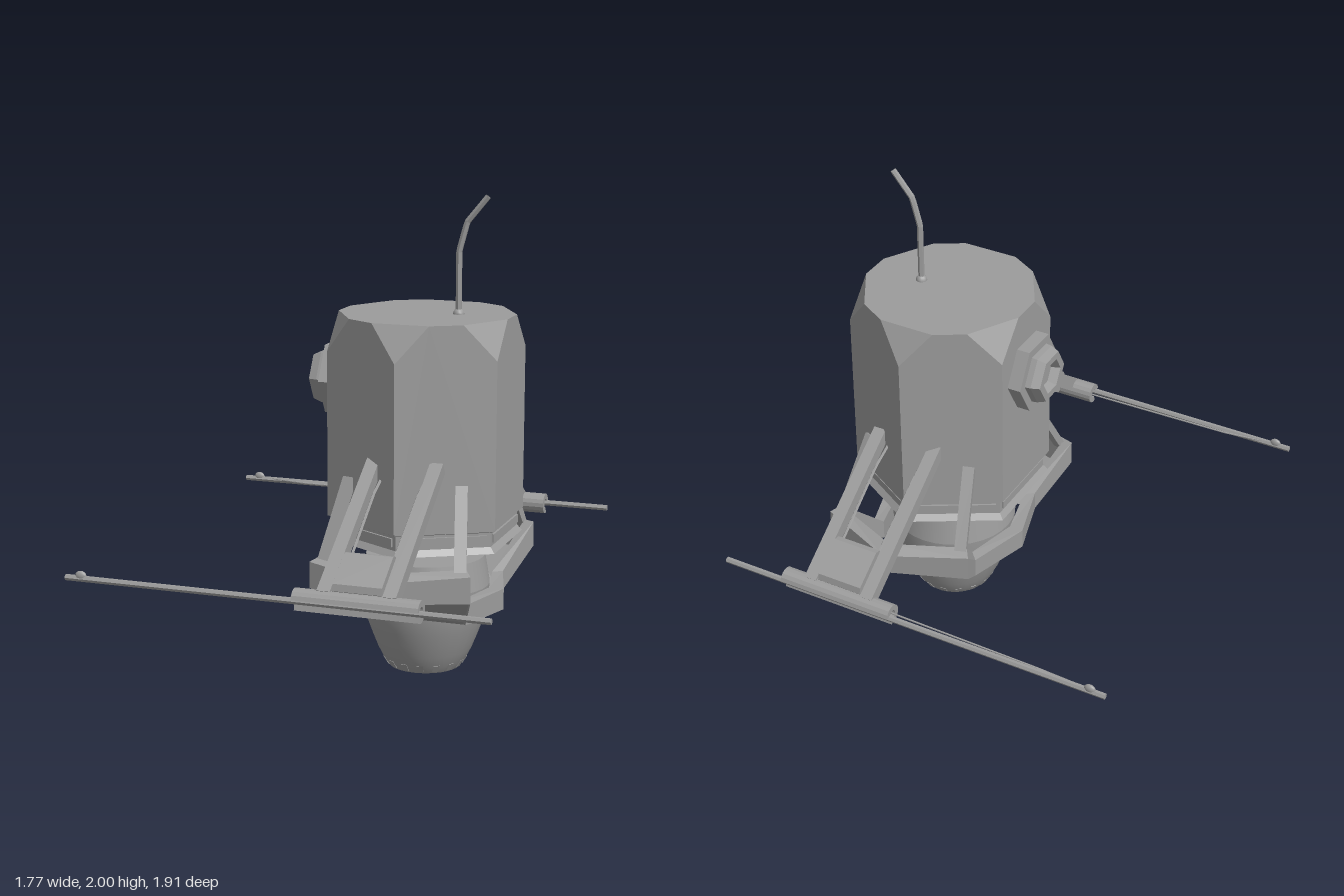
import * as THREE from 'three';
import { ConvexGeometry } from 'three/addons/geometries/ConvexGeometry.js';

const flat = new THREE.MeshStandardMaterial({ color: 0x9c9c9c, flatShading: true, side: THREE.DoubleSide });
const smooth = new THREE.MeshStandardMaterial({ color: 0x9c9c9c, side: THREE.DoubleSide });
const V = (x, y, z) => new THREE.Vector3(x, y, z);

export function createModel() {
  const model = new THREE.Group();
  model.name = 'droidPod';
  model.position.x = 0.325; // parts are laid out around the body axis
  const root = new THREE.Group();
  root.add(model);

  const add = (name, geo, mat = flat, parent = model) => {
    const m = new THREE.Mesh(geo, mat);
    m.name = name;
    parent.add(m);
    return m;
  };
  const lathe = (pts, n) => new THREE.LatheGeometry(pts.map(p => new THREE.Vector2(...p)), n);
  // square bar between two points
  const beam = (name, a, b, w, t) => {
    const m = add(name, new THREE.BoxGeometry(w, t, a.distanceTo(b)));
    m.position.copy(a).lerp(b, 0.5);
    m.quaternion.setFromRotationMatrix(new THREE.Matrix4().lookAt(b, a, V(0, 1, 0)));
  };
  const tube = (name, pts, r, n = 6) => {
    const path = new THREE.CurvePath();
    for (let i = 1; i < pts.length; i++) path.add(new THREE.LineCurve3(pts[i - 1], pts[i]));
    add(name, new THREE.TubeGeometry(path, 24, r, n));
  };

  // hexagonal body with its top corners cut off
  const R = 0.42, hull = [];
  const corner = (i, y) => V(R * Math.sin(i * Math.PI / 3), y, R * Math.cos(i * Math.PI / 3));
  for (let i = 0; i < 6; i++) {
    hull.push(corner(i, 0.665), corner(i, 1.36));
    for (const t of [1 / 3, 2 / 3]) hull.push(corner(i, 1.51).lerp(corner(i + 1, 1.51), t));
  }
  add('body', new ConvexGeometry(hull));

  // stepped skirt below the body, with a raised panel on each side
  add('skirt', lathe([[0, 0.6], [0.36, 0.6], [0.38, 0.565], [0.418, 0.565], [0.395, 0.59],
    [0.395, 0.65], [0.408, 0.655], [0.408, 0.668]], 6));
  for (let i = 0; i < 6; i++) {
    const a = (i + 0.5) * Math.PI / 3;
    const p = add('skirtPanel', new THREE.BoxGeometry(0.36, 0.035, 0.016));
    p.position.set(0.343 * Math.sin(a), 0.622, 0.343 * Math.cos(a));
    p.rotation.y = a;
  }

  // hexagonal side port
  const port = add('sidePort', lathe([[0.165, 0], [0.165, 0.06], [0.125, 0.06], [0.122, 0.085],
    [0.108, 0.122], [0.075, 0.122], [0.06, 0.085], [0, 0.085]], 6));
  port.position.set(-0.362, 1.22, 0);
  port.rotation.z = Math.PI / 2;

  // bent aerial
  tube('aerial', [V(0.135, 1.5, 0), V(0.135, 1.77, 0), V(0.168, 1.89, 0), V(0.255, 1.995, 0)], 0.013);
  const base = add('aerialBase', new THREE.SphereGeometry(0.024, 12, 8), smooth);
  base.position.set(0.135, 1.51, 0);

  // thruster bowl
  add('bowl', lathe([[0.153, 0], [0.175, 0.03], [0.2, 0.08], [0.222, 0.135], [0.242, 0.19],
    [0.256, 0.24], [0.266, 0.29], [0.273, 0.365]], 32), smooth);
  add('bowlCollar', lathe([[0.273, 0.365], [0.252, 0.488]], 32), smooth);
  add('bowlTop', lathe([[0.252, 0.488], [0, 0.488]], 32), smooth);
  add('bowlBase', lathe([[0, 0.012], [0.12, 0.012], [0.132, 0], [0.153, 0]], 16));
  for (let i = 0; i < 16; i++) {
    const a = ((i + 0.5) / 16) * Math.PI * 2;
    const v = add('ventFin', new THREE.BoxGeometry(0.026, 0.036, 0.012));
    v.position.set(0.166 * Math.sin(a), 0.026, 0.166 * Math.cos(a));
    v.rotation.set(0.55, a, 0, 'YXZ');
  }

  // cradle: a band around the bowl that rises into a tray at front and back
  // each node: x, z, bottom, outer top, inner top, inner scale
  const quarter = [[0.345, 0, 0.27, 0.36, 0.36, 0.82], [0.262, 0.275, 0.27, 0.355, 0.36, 0.86],
    [0.342, 0.475, 0.425, 0.535, 0.552, 0.91], [0, 0.6, 0.42, 0.507, 0.535, 0.91]];
  const mirrorX = p => [-p[0], ...p.slice(1)];
  const half = [...quarter, ...quarter.slice(0, 3).reverse().map(mirrorX)];
  const loop = [...half, ...half.slice(1, 6).reverse().map(p => [p[0], -p[1], ...p.slice(2)])];
  const pos = [], idx = [];
  loop.forEach(([x, z, lo, hi, hiIn, k], i) => {
    const j = (i + 1) % loop.length;
    pos.push(x, lo, z, x, hi, z, x * k, hiIn, z * k, x * k, lo, z * k);
    for (let c = 0; c < 4; c++) {
      const d = (c + 1) % 4;
      idx.push(i * 4 + c, j * 4 + d, i * 4 + d, i * 4 + c, j * 4 + c, j * 4 + d);
    }
  });
  // seen from above the loop runs from +x to +z, so outward faces need the reverse order
  const band = new THREE.BufferGeometry();
  band.setAttribute('position', new THREE.Float32BufferAttribute(pos, 3));
  band.setIndex(idx.reverse());
  band.computeVertexNormals();
  add('cradleBand', band);

  const tilt = 0.6; // downward slope of the arms
  const armX = 0.02; // the arm pair sits slightly off the body axis
  for (const s of [1, -1]) {
    // sloping tray floor
    const floor = new THREE.BufferGeometry();
    floor.setAttribute('position', new THREE.Float32BufferAttribute([
      -0.25, 0.27, 0.265 * s, 0.25, 0.27, 0.265 * s, 0.335, 0.425, 0.47 * s, 0, 0.42, 0.59 * s, -0.335, 0.425, 0.47 * s], 3));
    floor.setIndex(s > 0 ? [0, 1, 3, 1, 2, 3, 0, 3, 4] : [0, 3, 1, 1, 3, 2, 0, 4, 3]);
    floor.computeVertexNormals();
    add('trayFloor', floor);

    for (const m of [1, -1]) {
      beam('cradleStrut', V(0.24 * m, 0.85, 0.275 * s), V(0.295 * m, 0.5, 0.465 * s), 0.05, 0.03);
      beam('arm', V(armX + 0.134 * m, 0.933, 0.325 * s), V(armX + 0.134 * m, 0.533, 0.905 * s), 0.055, 0.055);
      tube('cable', [V(armX + 0.092 * m, 0.885, 0.35 * s), V(armX + 0.092 * m, 0.84, 0.45 * s), V(armX + 0.088 * m, 0.64, 0.74 * s)], 0.006);
    }

    // actuator block between the arms, bevelled in section
    const block = new THREE.Group();
    block.name = 'actuator';
    block.position.set(armX, 0.588, 0.81 * s);
    block.rotation.x = tilt * s;
    const sec = new THREE.Shape();
    [[-0.1, -0.03], [-0.08, -0.05], [0.08, -0.05], [0.1, -0.03], [0.1, 0.03], [0.08, 0.05], [-0.08, 0.05], [-0.1, 0.03]]
      .forEach(([x, y], i) => (i ? sec.lineTo(x, y) : sec.moveTo(x, y)));
    const core = add('actuatorBlock', new THREE.ExtrudeGeometry(sec, { depth: 0.2, bevelEnabled: false }), flat, block);
    core.rotation.y = Math.PI / 2;
    core.position.x = -0.1;
    model.add(block);

    // C-shaped clamp that opens outward and grips the rod
    const mid = s > 0 ? -tilt : Math.PI + tilt, gap = 0.75;
    const c = new THREE.Shape();
    c.absarc(0, 0, 0.045, mid + gap, mid + Math.PI * 2 - gap, false);
    c.absarc(0, 0, 0.02, mid + Math.PI * 2 - gap, mid + gap, true);
    const clamp = add('rodClamp', new THREE.ExtrudeGeometry(c, { depth: 0.515, bevelEnabled: false, curveSegments: 6 }));
    clamp.rotation.y = -Math.PI / 2;
    clamp.position.set(0.28, 0.51, 0.91 * s);

    // long rod with a small tip sensor and trailing wire
    const rod = add('rod', new THREE.CylinderGeometry(0.013, 0.013, 1.775, 6));
    rod.rotation.z = Math.PI / 2;
    rod.position.set(-0.325, 0.508, 0.932 * s);
    const bump = add('rodSensor', new THREE.SphereGeometry(0.025, 12, 8), smooth);
    bump.scale.set(1, 0.8, 0.5);
    bump.position.set(-1.145, 0.52, 0.932 * s);
    tube('rodWire', [V(-1.13, 0.515, 0.93 * s), V(-0.9, 0.508, 0.912 * s), V(-0.22, 0.508, 0.9 * s)], 0.004);
  }
  return root;
}
